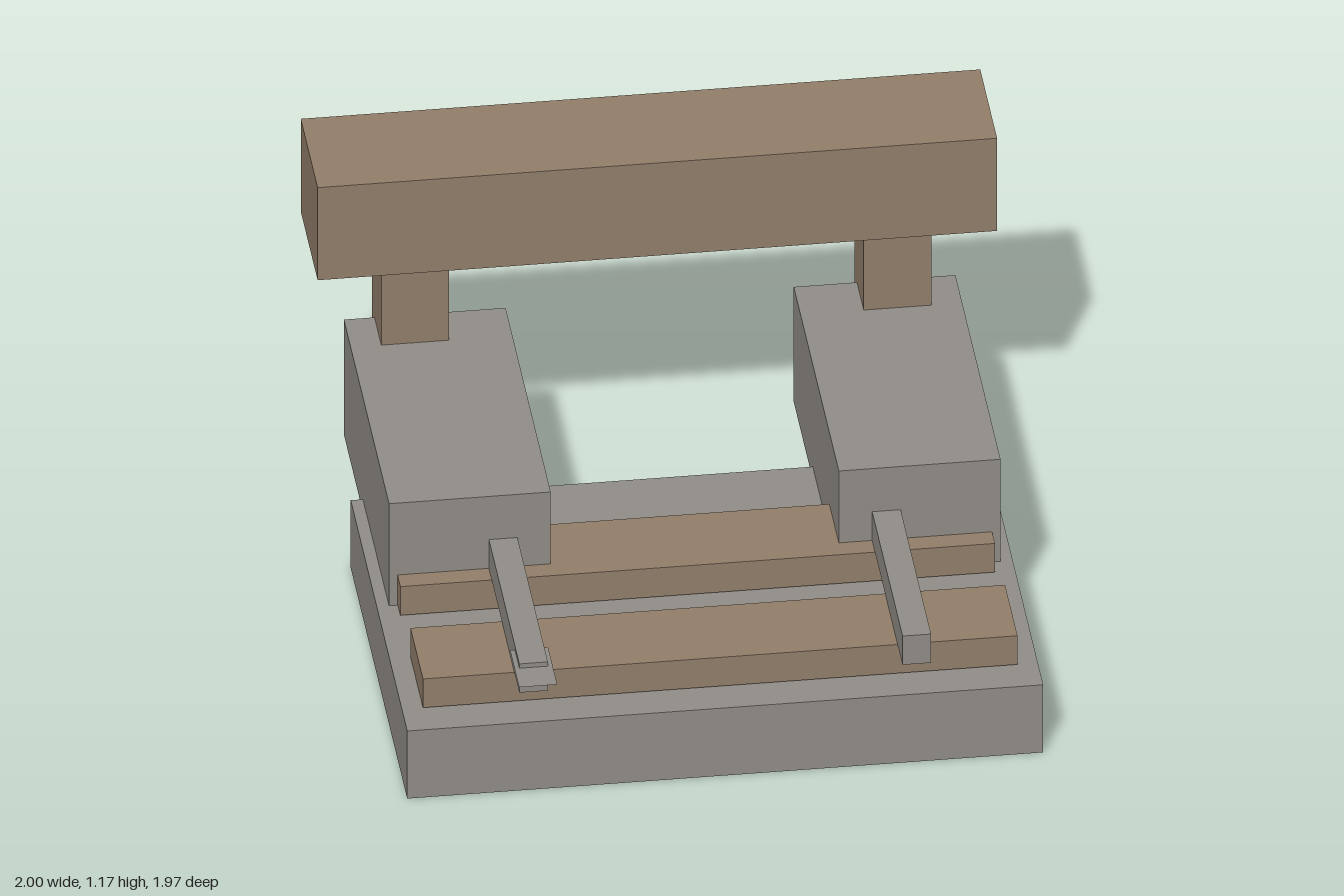
import * as THREE from 'three';

export function createModel() {
  const model = new THREE.Group();
  model.name = 'lowBench';
  const stone = new THREE.MeshStandardMaterial({ color: 0x928e88, side: THREE.DoubleSide });
  stone.name = 'warm grey';
  const wood = new THREE.MeshStandardMaterial({ color: 0x93806b });
  wood.name = 'brown';

  // Box given by its low and high limits on each axis
  function box(name, material, [x0, x1], [y0, y1], [z0, z1]) {
    const mesh = new THREE.Mesh(new THREE.BoxGeometry(x1 - x0, y1 - y0, z1 - z0), material);
    mesh.position.set((x0 + x1) / 2, (y0 + y1) / 2, (z0 + z1) / 2);
    mesh.name = name;
    model.add(mesh);
    return mesh;
  }

  // Hollow base, open underneath: the downward face is dropped
  const base = box('base', stone, [-0.936, 0.936], [0, 0.235], [-0.365, 0.882]);
  const index = Array.from(base.geometry.index.array);
  index.splice(18, 6);
  base.geometry.setIndex(index);
  base.geometry.clearGroups();

  // Two planks across the base
  box('frontPlank', wood, [-0.875, 0.875], [0.24, 0.34], [0.497, 0.772]);
  box('rearPlank', wood, [-0.875, 0.875], [0.24, 0.34], [0, 0.273]);

  // Side blocks, rails and posts, mirrored
  for (const [side, s] of [['left', 1], ['right', -1]]) {
    const span = (a, b) => (s > 0 ? [a, b] : [-b, -a]);
    box(side + 'Block', stone, span(0.424, 0.9), [0.19, 0.59], [-0.785, 0.21]);
    box(side + 'Rail', stone, span(0.522, 0.606), [0.34, 0.44], [0.15, 0.882]);
    box(side + 'Post', wood, span(0.61, 0.81), [0.34, 0.85], [-0.835, -0.635]);
  }

  // Thin tab at the tip of the right rail
  const tab = new THREE.Mesh(new THREE.PlaneGeometry(0.112, 0.2), stone);
  tab.rotation.x = -Math.PI / 2;
  tab.position.set(-0.564, 0.425, 0.883);
  tab.name = 'railTab';
  model.add(tab);

  // Heavy top beam
  box('beam', wood, [-1, 1], [0.845, 1.167], [-0.987, -0.615]);

  return model;
}
